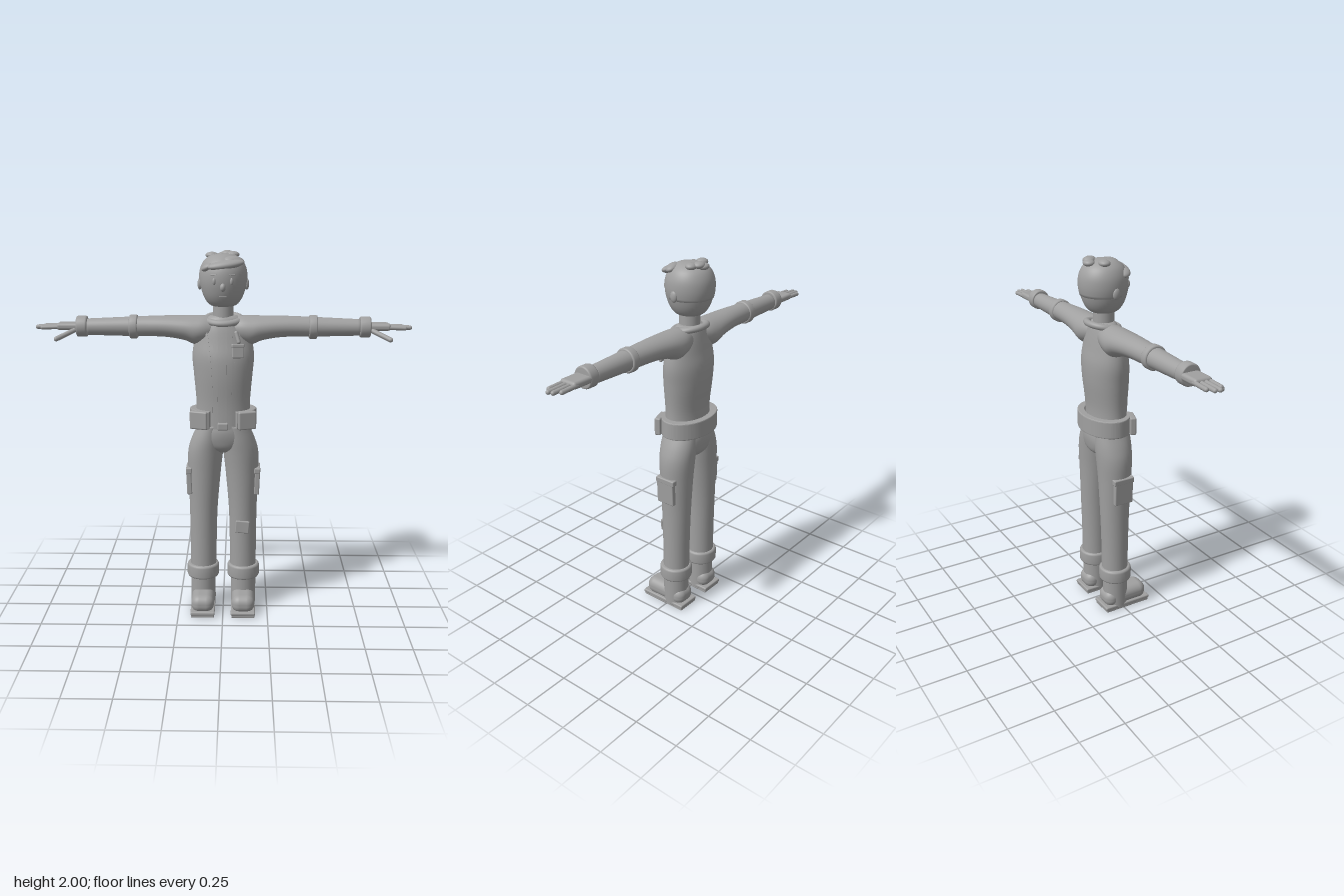
import * as THREE from 'three';
import { RoundedBoxGeometry } from 'three/addons/geometries/RoundedBoxGeometry.js';

const clay = new THREE.MeshStandardMaterial({ color: 0xa0a0a0 });
clay.name = 'clay grey';

// Catmull-Rom blend of the section rows [y, centreX, centreZ, radiusX, radiusZ]
function sample(rows, i, t) {
  const at = k => rows[Math.min(rows.length - 1, Math.max(0, k))];
  const [a, b, c, d] = [at(i - 1), at(i), at(i + 1), at(i + 2)];
  return b.map((_, k) => 0.5 * (2 * b[k] + (c[k] - a[k]) * t +
    (2 * a[k] - 5 * b[k] + 4 * c[k] - d[k]) * t * t + (3 * b[k] - a[k] - 3 * c[k] + d[k]) * t ** 3));
}

// Smooth closed body through elliptical sections, stacked upwards
function loft(rows, sides = 32, steps = 6) {
  const rings = [];
  for (let i = 0; i < rows.length - 1; i++)
    for (let k = 0; k < steps; k++) rings.push(sample(rows, i, k / steps));
  rings.push(rows[rows.length - 1]);
  const cap = r => [r[0], r[1], r[2], 0, 0];
  rings.unshift(cap(rings[0]));
  rings.push(cap(rings[rings.length - 1]));
  const pos = [], index = [];
  rings.forEach(([y, cx, cz, rx, rz], i) => {
    for (let j = 0; j < sides; j++) {
      const a = j / sides * Math.PI * 2;
      pos.push(cx + rx * Math.sin(a), y, cz + rz * Math.cos(a));
      if (i === rings.length - 1) continue;
      const p = i * sides + j, q = i * sides + (j + 1) % sides;
      index.push(p, q, p + sides, q, q + sides, p + sides);
    }
  });
  const g = new THREE.BufferGeometry();
  g.setAttribute('position', new THREE.Float32BufferAttribute(pos, 3));
  g.setIndex(index);
  g.computeVertexNormals();
  return g;
}

const torsoRows = [
  [1.07, 0, -0.02, 0.15, 0.1], [1.2, 0, -0.018, 0.145, 0.097], [1.35, 0, -0.022, 0.157, 0.109],
  [1.45, 0, -0.025, 0.165, 0.108], [1.53, 0, -0.028, 0.155, 0.092], [1.6, 0, -0.03, 0.135, 0.078],
  [1.65, 0, -0.032, 0.1, 0.064], [1.668, 0, -0.032, 0.065, 0.05]];

// Depth of the chest surface at a point
function torsoFront(x, y) {
  let i = 0;
  while (i < torsoRows.length - 2 && torsoRows[i + 1][0] < y) i++;
  const t = (y - torsoRows[i][0]) / (torsoRows[i + 1][0] - torsoRows[i][0]);
  const [, , cz, rx, rz] = sample(torsoRows, i, Math.min(1, Math.max(0, t)));
  return cz + rz * Math.sqrt(Math.max(0, 1 - (x / rx) ** 2));
}

// Raised band that follows the chest; xAt gives its centre line
function chestBand(y0, y1, width, thick, xAt) {
  const g = new THREE.BoxGeometry(width, y1 - y0, thick, 3, 24, 1).translate(0, (y0 + y1) / 2, 0);
  const p = g.attributes.position;
  for (let i = 0; i < p.count; i++) {
    const y = p.getY(i), x = p.getX(i) + xAt((y - y0) / (y1 - y0));
    p.setXYZ(i, x, y, torsoFront(x, y) + p.getZ(i));
  }
  g.computeVertexNormals();
  return g;
}

// Rounded band around a limb
function barrel(r, h) {
  const pts = [[0, -0.5], [0.86, -0.5], [0.95, -0.46], [1, -0.34], [1, 0.34], [0.95, 0.46], [0.86, 0.5], [0, 0.5]];
  return new THREE.LatheGeometry(pts.map(([x, y]) => new THREE.Vector2(x * r, y * h)), 32);
}

const ball = (rx, ry, rz) => new THREE.SphereGeometry(1, 24, 16).scale(rx, ry, rz);
const pad = (w, h, d, r = 0.006) => new RoundedBoxGeometry(w, h, d, 3, r);

// Capsule between two points
function rod(a, b, r) {
  const from = new THREE.Vector3(...a), dir = new THREE.Vector3(...b).sub(from), len = dir.length();
  const q = new THREE.Quaternion().setFromUnitVectors(new THREE.Vector3(0, 1, 0), dir.normalize());
  return new THREE.CapsuleGeometry(r, Math.max(0.001, len - 2 * r), 6, 12).translate(0, len / 2, 0)
    .applyQuaternion(q).translate(...a);
}

export function createModel() {
  const model = new THREE.Group();
  model.name = 'person';
  const add = (name, geometry, x = 0, y = 0, z = 0, rx = 0, ry = 0, rz = 0) => {
    const m = new THREE.Mesh(geometry, clay);
    m.name = name;
    m.position.set(x, y, z);
    m.rotation.set(rx, ry, rz);
    model.add(m);
    return m;
  };

  // Head and neck
  const skull = [[0, 1.714], [0.05, 1.717], [0.08, 1.732], [0.104, 1.77], [0.119, 1.82], [0.124, 1.865],
    [0.119, 1.91], [0.1, 1.95], [0.068, 1.976], [0.035, 1.986], [0, 1.989]].map(p => new THREE.Vector2(...p));
  const skullCurve = new THREE.SplineCurve(skull).getPoints(40);
  skullCurve.forEach(p => { p.x = Math.max(0, p.x); });
  add('head', new THREE.LatheGeometry(skullCurve, 40).scale(1, 1, 1.04), 0, 0, -0.03);
  add('neck', new THREE.CylinderGeometry(0.054, 0.056, 0.14, 32), 0, 1.67, -0.03);

  // Hair: back shell, forehead sweep and crown tufts
  const shell = skullCurve.filter(p => p.y > 1.8).map(p => new THREE.Vector2(p.x * 1.025, p.y + 0.002));
  shell.unshift(new THREE.Vector2(0.1, 1.8));
  add('hair', new THREE.LatheGeometry(shell, 40, 1.22, Math.PI * 2 - 2.44).scale(1, 1, 1.03), 0, 0, -0.032);
  add('hairSweep', ball(0.098, 0.024, 0.038), 0.015, 1.938, 0.058, 0.2, 0.12, 0.12);
  add('hairSweep', ball(0.055, 0.022, 0.034), 0.055, 1.957, 0.035, 0.3, 0.3, -0.15);
  add('hairSweep', ball(0.036, 0.018, 0.03), -0.08, 1.923, 0.045, 0.2, -0.6, 0.5);
  for (const [x, y, z] of [[-0.06, 1.978, -0.06], [0, 1.975, -0.115], [0.05, 1.98, -0.08], [0.02, 1.984, -0.105]])
    add('hairTuft', ball(0.034, 0.018, 0.03), x, y, z);

  // Face
  add('nose', ball(0.015, 0.021, 0.017), 0, 1.825, 0.1);
  add('mouth', pad(0.04, 0.005, 0.008, 0.002), 0, 1.776, 0.08);
  for (const s of [1, -1]) {
    add('eye', ball(0.009, 0.018, 0.008), s * 0.045, 1.855, 0.09);
    add('eyebrow', rod([s * 0.03, 1.89, 0.09], [s * 0.064, 1.888, 0.077], 0.005));
    add('ear', ball(0.013, 0.03, 0.021), s * 0.123, 1.832, -0.027);
  }

  // Jacket with collar, front bands and open hem
  add('torso', loft(torsoRows, 40));
  add('collar', new THREE.TorusGeometry(0.08, 0.019, 14, 40).rotateX(Math.PI / 2).scale(1.1, 0.9, 1),
    0.002, 1.647, -0.036, 0.2);
  add('zipBand', chestBand(1.07, 1.63, 0.024, 0.02, t => -0.038 - 0.004 * t));
  add('zipBand', chestBand(1.07, 1.63, 0.024, 0.02, t => 0.034 + 0.003 * t));
  add('lapel', chestBand(1.09, 1.62, 0.012, 0.016, t => -0.06 - 0.035 * t ** 3));
  add('lapel', chestBand(1.09, 1.62, 0.012, 0.016, t => 0.056 + 0.035 * t ** 3));
  add('shirtFront', chestBand(1.07, 1.63, 0.045, 0.01, () => -0.002));
  const hem = new THREE.Shape();
  const gap = 0.46, a0 = -Math.PI / 2 + gap, a1 = Math.PI * 1.5 - gap;
  hem.absellipse(0, 0, 0.177, 0.124, a0, a1, false);
  hem.absellipse(0, 0, 0.14, 0.094, a1, a0, true);
  add('jacketHem', new THREE.ExtrudeGeometry(hem, {
    depth: 0.084, bevelThickness: 0.006, bevelSize: 0.004, bevelSegments: 2, curveSegments: 48
  }).rotateX(-Math.PI / 2), 0, 1.076, -0.03);
  for (const s of [1, -1])
    add('hemFlap', pad(0.1, 0.098, 0.034, 0.008), s * 0.128, 1.117, 0.066, 0, s * 0.35);
  add('buckle', pad(0.056, 0.038, 0.03), 0, 1.088, 0.087);
  add('chestPocket', pad(0.062, 0.065, 0.018), 0.078, 1.49, 0.083, -0.12, 0.2);
  add('chestPocketFlap', pad(0.068, 0.02, 0.024), 0.078, 1.523, 0.084, -0.15, 0.2);
  add('pen', rod([0.086, 1.53, 0.07], [0.066, 1.595, 0.05], 0.011));

  // Hips
  add('hips', loft([[0.925, 0, -0.025, 0.05, 0.055], [0.955, 0, -0.025, 0.12, 0.092],
    [1, 0, -0.024, 0.165, 0.106], [1.05, 0, -0.023, 0.147, 0.11], [1.1, 0, -0.022, 0.133, 0.1]], 40));

  for (const s of [1, -1]) {
    // Sleeve, laid from the shoulder outwards: [x, y, radiusY, radiusZ]
    const sleeve = [[0.05, 1.6, 0.058, 0.065], [0.1, 1.594, 0.072, 0.08], [0.15, 1.59, 0.077, 0.085],
      [0.21, 1.601, 0.065, 0.08], [0.32, 1.609, 0.056, 0.068], [0.48, 1.607, 0.052, 0.055], [0.74, 1.604, 0.043, 0.043]];
    const arm = loft(sleeve.map(([x, y, ry, rz]) => [x, -s * (y - 1.6), -0.033, ry, rz]));
    add('sleeve', arm.rotateZ(-s * Math.PI / 2), 0, 1.6, 0);
    add('elbowBand', barrel(0.063, 0.045), s * 0.477, 1.606, -0.033, 0, 0, Math.PI / 2);
    add('wristCuff', barrel(0.056, 0.058), s * 0.752, 1.607, -0.03, 0, 0, Math.PI / 2);

    // Hand
    add('palm', pad(0.13, 0.036, 0.098, 0.015), s * 0.82, 1.609, -0.035);
    [[-0.074, 0.965], [-0.049, 0.994], [-0.024, 1], [0.001, 0.97]].forEach(([z, tip]) =>
      add('finger', rod([s * 0.85, 1.608, z], [s * tip, 1.604, z], 0.0115)));
    add('thumb', rod([s * 0.78, 1.595, 0.005], [s * 0.884, 1.55, 0.08], 0.013));

    // Trouser leg with turn-up and cargo pocket
    add('trouserLeg', loft([[0.21, s * 0.112, -0.027, 0.073, 0.073], [0.4, s * 0.111, -0.027, 0.074, 0.075],
      [0.6, s * 0.109, -0.027, 0.078, 0.081], [0.8, s * 0.104, -0.025, 0.09, 0.09],
      [0.92, s * 0.097, -0.024, 0.096, 0.098], [1, s * 0.083, -0.023, 0.089, 0.102],
      [1.08, s * 0.064, -0.022, 0.07, 0.1]]));
    add('turnUp', barrel(0.09, 0.078), s * 0.114, 0.223, -0.026);
    add('cargoPocket', pad(0.028, 0.145, 0.11), s * 0.187, 0.757, -0.02, 0, 0, -s * 0.04);
    add('cargoPocketFlap', pad(0.034, 0.032, 0.122), s * 0.187, 0.822, -0.02, 0, 0, -s * 0.04);

    // Boot
    add('bootShaft', new THREE.CylinderGeometry(0.07, 0.07, 0.19, 32), s * 0.114, 0.115, -0.026);
    add('bootToe', new RoundedBoxGeometry(0.128, 0.1, 0.262, 6, 0.045), s * 0.113, 0.068, 0.023);
    add('bootSole', pad(0.136, 0.02, 0.284, 0.007), s * 0.113, 0.024, 0.023);
    add('bootTread', pad(0.128, 0.018, 0.274, 0.004), s * 0.113, 0.009, 0.023);
  }

  // Patch above the knee
  add('kneePatch', pad(0.078, 0.07, 0.016), 0.107, 0.502, 0.051, -0.03, 0, -0.08);
  return model;
}
